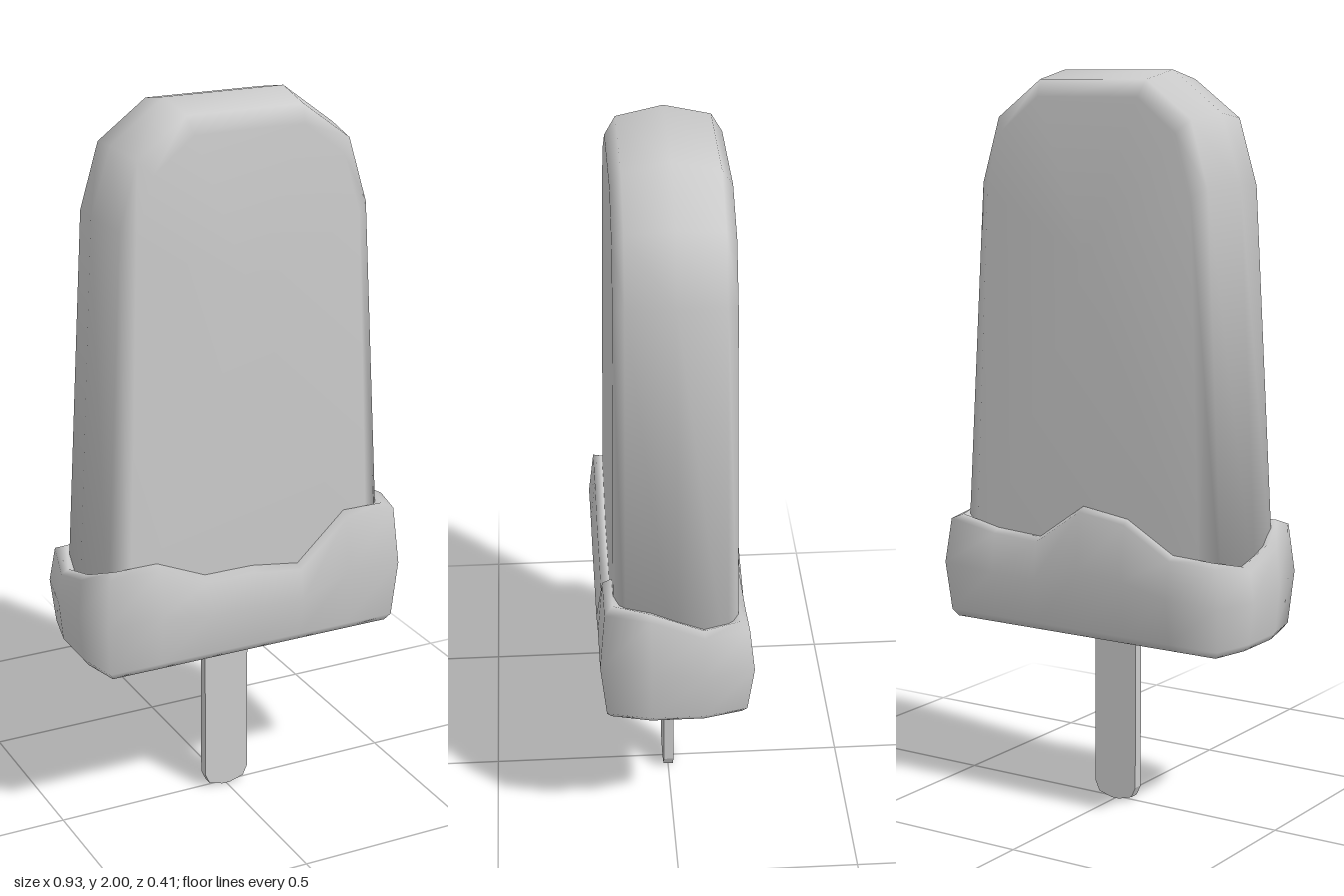
import * as THREE from 'three';

const material = () => new THREE.MeshStandardMaterial({ color: 0xcccccc });

// Joins closed rings of [x, y, z] points into a smooth skin; the caps are fans.
function loft(rings, capStart, capEnd) {
  const n = rings[0].length;
  const points = rings.flat();
  const index = [];
  for (let i = 0; i < rings.length - 1; i++) {
    for (let j = 0; j < n; j++) {
      const k = (j + 1) % n;
      const a = i * n + j, b = i * n + k, c = b + n, d = a + n;
      index.push(a, b, c, a, c, d);
    }
  }
  const cap = (ring, start, flip) => {
    const centre = points.length;
    points.push([0, 1, 2].map((axis) => ring.reduce((sum, p) => sum + p[axis], 0) / n));
    for (let j = 0; j < n; j++) {
      const a = start + j, b = start + ((j + 1) % n);
      index.push(centre, flip ? b : a, flip ? a : b);
    }
  };
  if (capStart) cap(rings[0], 0, true);
  if (capEnd) cap(rings[rings.length - 1], (rings.length - 1) * n, false);
  const geometry = new THREE.BufferGeometry();
  geometry.setAttribute('position', new THREE.Float32BufferAttribute(points.flat(), 3));
  geometry.setIndex(index);
  geometry.computeVertexNormals();
  return geometry;
}

function named(name, geometry) {
  const mesh = new THREE.Mesh(geometry, material());
  mesh.name = name;
  return mesh;
}

// Ice bar: arch outlines stacked through the depth, thinner towards the top.
function iceBar() {
  const arch = (half, depth) => [...half, ...half.map(([x, y]) => [-x, y]).reverse()]
    .map(([x, y]) => [x, y, depth * (1 - 0.08 * (y - 0.6))]);
  const face = [[0.36, 0.6], [0.318, 1.68], [0.27, 1.84], [0.155, 1.93]];
  const edge = [[0.412, 0.6], [0.352, 1.7], [0.3, 1.875], [0.165, 1.975]];
  const ridge = [[0.435, 0.6], [0.375, 1.71], [0.318, 1.89], [0.17, 2]];
  return loft([
    arch(face, -0.168), arch(edge, -0.137), arch(ridge, 0), arch(edge, 0.137), arch(face, 0.168),
  ], true, true);
}

// Coating: a wide base band with an uneven upper rim.
function coating() {
  // Rim heights, anticlockwise from the front corner at -x.
  const heights = [
    0.805, 0.805, 0.745, 0.745, 0.725, 0.855, 0.855, // front
    0.85, 0.79, // side at +x
    0.79, 0.765, 0.757, 0.855, 0.835, 0.755, 0.75, // back
    0.725, 0.765, // side at -x
  ];
  const across = [-1, -0.28, -0.14, 0, 0.14, 0.28, 1];
  const plan = (cornerX, z, sideX, height) => {
    const front = across.map((x) => [Math.abs(x) === 1 ? x * cornerX : x, z]);
    const half = [...front, [sideX, 0.07], [sideX, -0.07]];
    return [...half, ...half.map(([x, d]) => [-x, -d])]
      .map(([x, d], i) => [x, height(heights[i]), d]);
  };
  return loft([
    plan(0.415, 0.175, 0.44, () => 0.5),
    plan(0.428, 0.188, 0.455, () => 0.52),
    plan(0.438, 0.204, 0.466, (h) => 0.66 + (h - 0.8) * 0.4),
    plan(0.425, 0.19, 0.456, (h) => h - 0.012),
    plan(0.4, 0.168, 0.435, (h) => h),
    plan(0.37, 0.145, 0.4, (h) => h - 0.02),
  ], true, false);
}

// Stick: a thin flat strip with a blunt lower end.
function stick() {
  const half = [[0.012, 0], [0.053, 0.012], [0.066, 0.04], [0.066, 0.6]];
  const outline = [...half, ...half.map(([x, y]) => [-x, y]).reverse()];
  const shape = new THREE.Shape(outline.map(([x, y]) => new THREE.Vector2(x, y)));
  return new THREE.ExtrudeGeometry(shape, { depth: 0.028, bevelEnabled: false })
    .translate(0, 0, -0.014);
}

export function createModel() {
  const group = new THREE.Group();
  group.name = 'iceLolly';
  group.add(named('iceBar', iceBar()), named('coating', coating()), named('stick', stick()));
  return group;
}
